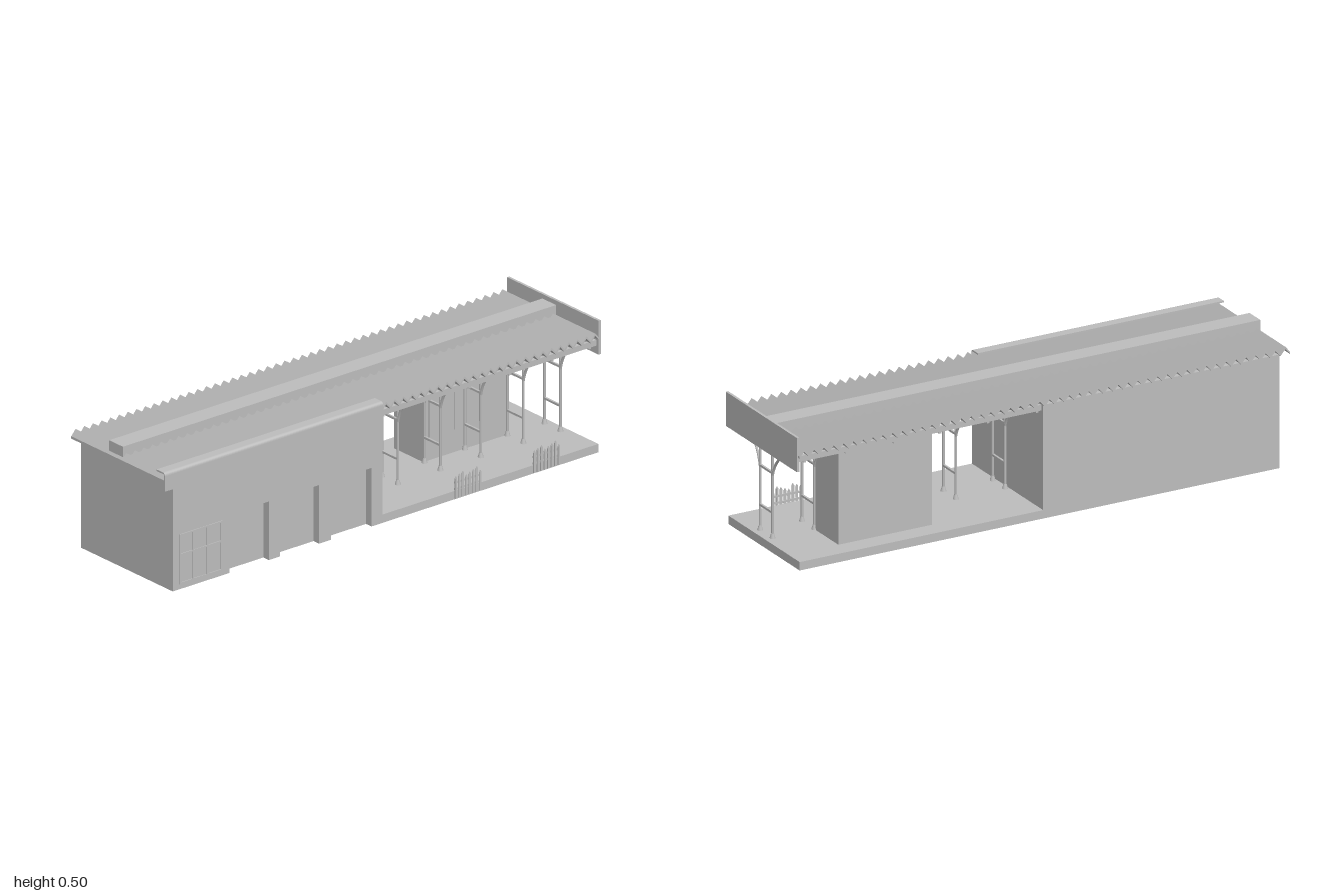
import * as THREE from 'three';

export function createModel() {
  const root = new THREE.Group();
  const grey = new THREE.MeshStandardMaterial({ color: 0xbcbcbc, side: THREE.DoubleSide });
  grey.name = 'plain grey';

  const add = (name, geometry, parent = root) => {
    const mesh = new THREE.Mesh(geometry, grey);
    mesh.name = name;
    parent.add(mesh);
    return mesh;
  };
  const group = (name) => {
    const g = new THREE.Group();
    g.name = name;
    root.add(g);
    return g;
  };
  // Box given by its limits
  const box = (name, x0, x1, y0, y1, z0, z1, parent) =>
    add(name, new THREE.BoxGeometry(x1 - x0, y1 - y0, z1 - z0), parent)
      .position.set((x0 + x1) / 2, (y0 + y1) / 2, (z0 + z1) / 2);
  // Side profile with points [z, y], extruded from x0 to x1
  const sideProfile = (name, points, x0, x1, parent) => {
    const shape = new THREE.Shape(points.map(([z, y]) => new THREE.Vector2(-z, y)));
    const geometry = new THREE.ExtrudeGeometry(shape, { depth: x1 - x0, bevelEnabled: false });
    geometry.rotateY(Math.PI / 2).translate(x0, 0, 0);
    return add(name, geometry, parent);
  };

  // Main hall, with three doorways cut into its right wall
  const wallX = 0.252, recess = 0.03;
  box('hall', -0.255, wallX - recess, 0, 0.432, 0, 0.96);
  const doors = [[0.05, 0.235], [0.29, 0.47], [0.52, 0.7]];
  const outline = [[0, 0]];
  for (const [a, b] of doors) outline.push([a, 0], [a, 0.225], [b, 0.225], [b, 0]);
  outline.push([0.96, 0], [0.96, 0.432], [0, 0.432]);
  sideProfile('doorWall', outline, wallX - recess, wallX);

  // Shallow window panel near the front corner
  const panel = group('sidePanel');
  for (const z of [0.735, 0.80, 0.865, 0.925]) box('panelUpright', wallX, 0.255, 0.02, 0.21, z, z + 0.006, panel);
  for (const y of [0.02, 0.13, 0.205]) box('panelRail', wallX, 0.255, y, y + 0.006, 0.735, 0.931, panel);

  // Platform and small waiting room
  box('platform', -0.255, wallX, 0, 0.032, -0.99, 0);
  box('waitingRoom', -0.18, -0.017, 0.032, 0.432, -0.79, -0.41);
  for (let i = 0; i < 3; i++) {
    const z = -0.75 + i * 0.115;
    box('waitingRoomWindow', -0.017, -0.013, 0.12, 0.3, z, z + 0.085);
  }

  // Corrugated roof: zigzag sheet with ribs running across
  const top = [], bottom = [];
  for (let i = 0; i <= 100; i++) {
    const z = -0.995 + i * 0.01995, y = i % 2 ? 0.46 : 0.437;
    top.push([z, y]);
    bottom.unshift([z, y - 0.009]);
  }
  sideProfile('corrugatedRoof', [...top, ...bottom], -0.262, wallX);
  box('ridgeDuct', -0.058, 0.018, 0.448, 0.488, -0.99, 0.995);
  box('endBoard', -0.253, 0.253, 0.375, 0.505, -1, -0.99);

  // Bent eave flashing above the hall doors
  const cap = new THREE.Shape();
  cap.moveTo(0.21, 0.46);
  cap.lineTo(0.21, 0.466);
  cap.lineTo(0.243, 0.466);
  cap.quadraticCurveTo(0.256, 0.466, 0.256, 0.453);
  cap.lineTo(0.256, 0.395);
  cap.lineTo(wallX, 0.395);
  cap.lineTo(wallX, 0.46);
  add('eaveFlashing', new THREE.ExtrudeGeometry(cap, { depth: 1, bevelEnabled: false }));

  // Purlins carrying the open part of the roof
  for (const x of [-0.235, -0.12, -0.01, 0.078, 0.16, 0.235])
    box('purlin', x - 0.006, x + 0.006, 0.406, 0.428, -0.99, 0);

  // Frames: paired posts, crossbars and curved brackets
  const postX = [-0.01, 0.078];
  const frameZ = [-0.015, -0.215, -0.41, -0.595, -0.79, -0.96];
  for (const z of frameZ) {
    const frame = group('postFrame');
    postX.forEach((x, i) => {
      add('post', new THREE.CylinderGeometry(0.005, 0.005, 0.378, 8), frame).position.set(x, 0.219, z);
      add('postFoot', new THREE.CylinderGeometry(0.006, 0.011, 0.018, 8), frame).position.set(x, 0.041, z);
      const end = i ? 0.235 : -0.235;
      const curve = new THREE.QuadraticBezierCurve3(
        new THREE.Vector3(x, 0.27, z),
        new THREE.Vector3(x + (end - x) * 0.15, 0.395, z),
        new THREE.Vector3(end, 0.405, z));
      add('curvedBracket', new THREE.TubeGeometry(curve, 12, 0.005, 6), frame);
    });
    for (const y of [0.13, 0.28]) box('crossbar', postX[0], postX[1], y - 0.004, y + 0.004, z - 0.004, z + 0.004, frame);
    box('tieBeam', -0.24, 0.24, 0.4, 0.412, z - 0.005, z + 0.005, frame);
  }

  // Sagging strip slung under the roof between the frames
  const sag = new THREE.PlaneGeometry(0.08, 0.97, 4, 40).rotateX(-Math.PI / 2).translate(0.15, 0, -0.495);
  const p = sag.attributes.position;
  for (let i = 0; i < p.count; i++) {
    const u = (p.getX(i) - 0.15) / 0.04;
    p.setY(i, 0.4 - (1 - u * u) * (0.018 + 0.008 * Math.sin(p.getZ(i) * 16 + 3)));
  }
  sag.computeVertexNormals();
  add('saggingStrip', sag);

  // Picket fences on the platform edge
  for (const z0 of [-0.45, -0.81]) {
    const fence = group('picketFence');
    for (let i = 0; i < 8; i++) {
      const z = z0 + i * 0.016, h = 0.075 + 0.012 * ((i * 3) % 4) / 2;
      sideProfile('picket', [[z, 0.004], [z + 0.009, 0.004], [z + 0.009, h], [z + 0.0045, h + 0.008], [z, h]], 0.254, 0.258, fence);
    }
    for (const y of [0.04, 0.065]) box('fenceRail', 0.252, 0.255, y - 0.004, y + 0.004, z0, z0 + 0.121, fence);
  }

  return root;
}
